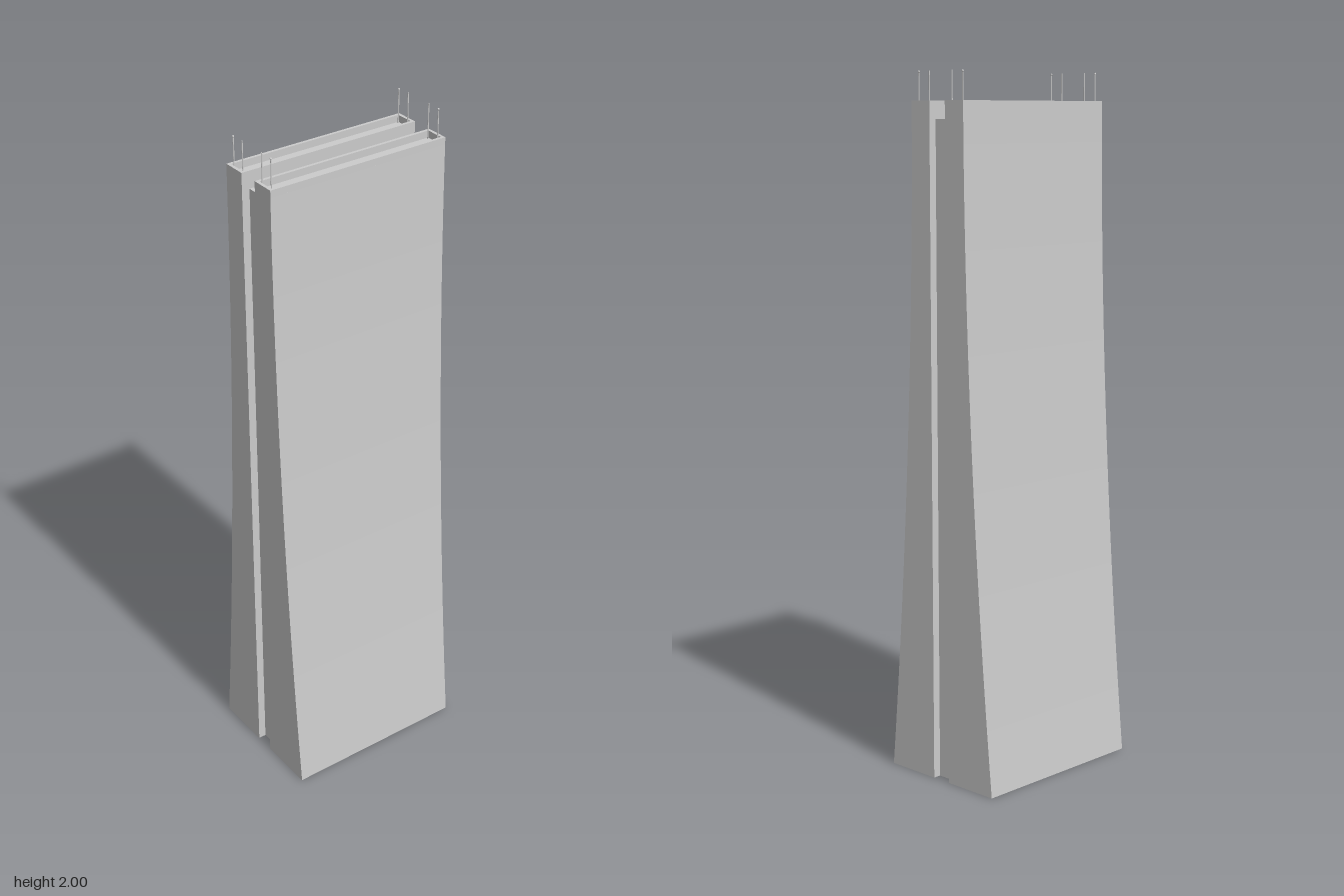
import * as THREE from 'three';

const HALF_W = 0.28, GAP = 0.03, TOP = 1.92, FLOOR = 1.9;
const material = new THREE.MeshStandardMaterial({ color: 0xcccccc, flatShading: true });

function add(parent, name, geometry, x = 0, y = 0, z = 0) {
  const mesh = new THREE.Mesh(geometry, material);
  mesh.name = name;
  mesh.position.set(x, y, z);
  parent.add(mesh);
  return mesh;
}

// Depth of the flared outer face at height y
const flare = (y) => 0.1 + 0.102 * Math.pow(1 - y / TOP, 1.85);

// Side profile of one slab, extruded across the width
function slabGeometry() {
  const shape = new THREE.Shape();
  shape.moveTo(-GAP, 0);
  shape.lineTo(-GAP, FLOOR);
  const steps = 20;
  for (let i = steps; i >= 0; i--) {
    const y = (FLOOR * i) / steps;
    shape.lineTo(-flare(y), y);
  }
  const geometry = new THREE.ExtrudeGeometry(shape, { depth: HALF_W * 2, bevelEnabled: false });
  // shape x becomes -z, extrusion runs along x
  return geometry.translate(0, 0, -HALF_W).rotateY(Math.PI / 2);
}

function rectangle(path, x, y0, y1) {
  path.moveTo(-x, y0);
  path.lineTo(x, y0);
  path.lineTo(x, y1);
  path.lineTo(-x, y1);
  path.closePath();
  return path;
}

// Low wall around the sunken roof
function parapetGeometry() {
  const shape = rectangle(new THREE.Shape(), HALF_W, -0.1, -GAP);
  shape.holes.push(rectangle(new THREE.Path(), 0.271, -0.091, -0.039));
  const geometry = new THREE.ExtrudeGeometry(shape, { depth: TOP - FLOOR, bevelEnabled: false });
  return geometry.rotateX(-Math.PI / 2).translate(0, FLOOR, 0);
}

function createHalf(name) {
  const half = new THREE.Group();
  half.name = name;
  add(half, 'slab', slabGeometry());
  add(half, 'parapet', parapetGeometry());

  // Masts in the roof corners, the outer ones with a lamp at the tip
  for (const x of [-0.266, 0.266]) {
    for (const z of [0.044, 0.085]) {
      const height = 2 - FLOOR;
      add(half, 'mast', new THREE.CylinderGeometry(0.0017, 0.0017, height, 8), x, FLOOR + height / 2, z);
      if (z > 0.05) add(half, 'mastLamp', new THREE.SphereGeometry(0.003, 8, 6), x, 1.997, z);
    }
  }
  return half;
}

export function createModel() {
  const tower = new THREE.Group();
  tower.name = 'tower';

  const front = createHalf('frontHalf');
  const back = createHalf('backHalf');
  back.rotation.y = Math.PI;
  tower.add(front, back);

  // Recessed core between the two slabs
  add(tower, 'core', new THREE.BoxGeometry(0.514, 1.87, GAP * 2), 0, 0.935, 0);
  return tower;
}
